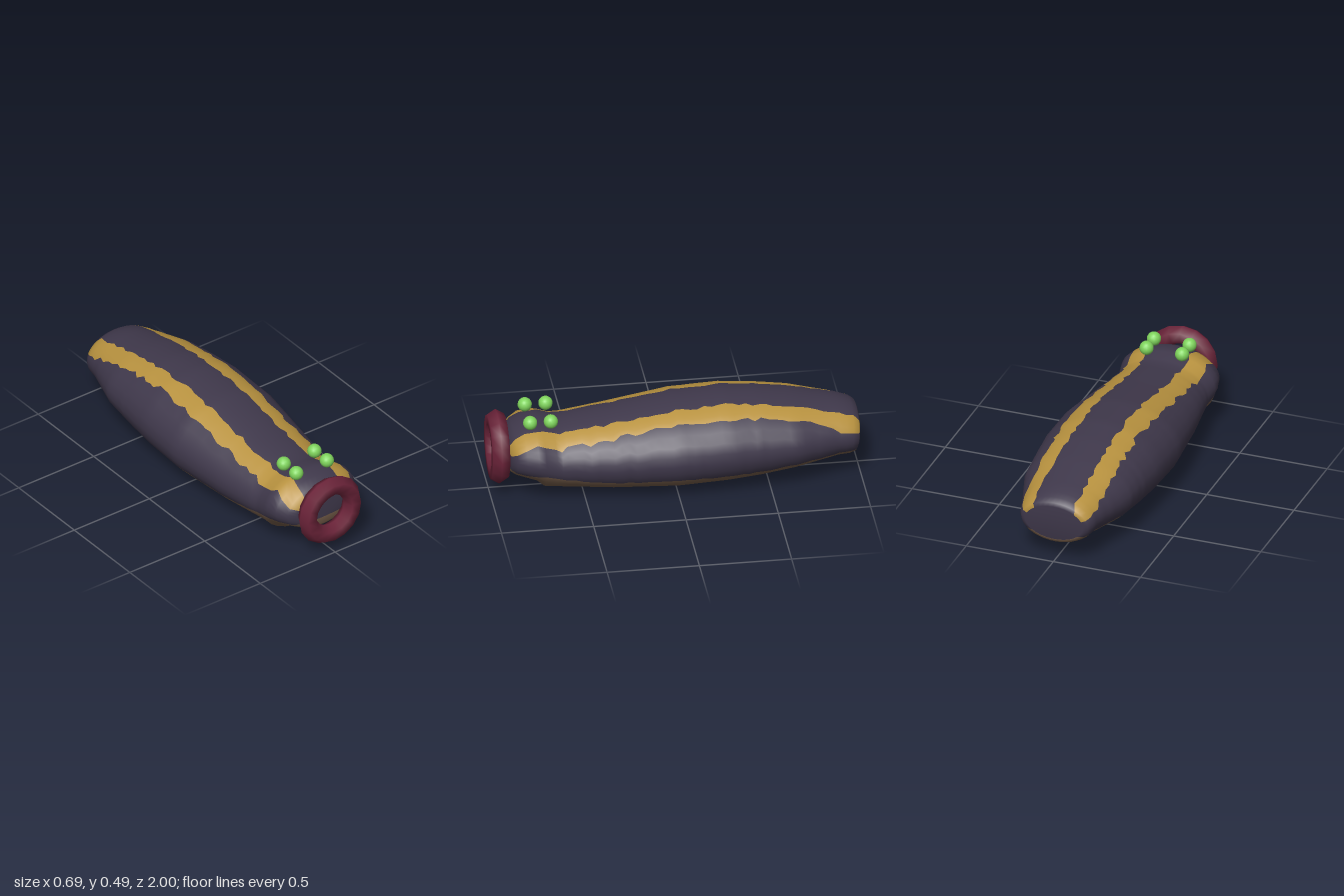
import * as THREE from 'three';

const mat = (name, color) => {
  const m = new THREE.MeshStandardMaterial({ color });
  m.name = name;
  return m;
};

// Body stations: z, half width, bottom y, top y, height of the belly colour
const STATIONS = [
  [-0.99, 0.165, 0.13, 0.335, 0.17],
  [-0.98, 0.19, 0.11, 0.355, 0.17],
  [-0.95, 0.208, 0.1, 0.375, 0.17],
  [-0.88, 0.225, 0.098, 0.4, 0.17],
  [-0.64, 0.305, 0.06, 0.447, 0.16],
  [-0.45, 0.325, 0.03, 0.475, 0.14],
  [-0.27, 0.342, 0.014, 0.488, 0.135],
  [0, 0.346, 0.002, 0.474, 0.135],
  [0.35, 0.305, 0.012, 0.42, 0.13],
  [0.6, 0.268, 0.03, 0.39, 0.155],
  [0.66, 0.26, 0.035, 0.393, 0.17],
  [0.72, 0.274, 0.046, 0.41, 0.19],
  [0.76, 0.278, 0.088, 0.41, 0.19],
  [0.82, 0.262, 0.11, 0.4, 0.19],
  [0.87, 0.22, 0.12, 0.378, 0.187],
  [0.895, 0.175, 0.13, 0.35, 0.185],
  [0.905, 0.13, 0.145, 0.325, 0.185],
];

// Long spans are divided so the stripe edges can wander
function bodyRows() {
  const rows = [];
  for (let i = 0; i < STATIONS.length - 1; i++) {
    const a = STATIONS[i], b = STATIONS[i + 1];
    const n = Math.max(1, Math.round((b[0] - a[0]) / 0.04));
    for (let k = 0; k < n; k++) rows.push(a.map((v, j) => v + (b[j] - v) * k / n));
  }
  rows.push(STATIONS[STATIONS.length - 1]);
  return rows;
}

function buildBody(materials) {
  let seed = 7;
  const jitter = (s) => {
    seed = (seed * 16807) % 2147483647;
    return (seed / 2147483647 - 0.5) * 2 * s;
  };
  const DARK = 0, GOLD = 1, BROWN = 2;
  const spans = [[6, BROWN], [6, DARK], [3, GOLD], [4, DARK]];
  const sideColours = spans.flatMap(([n, c]) => Array(n).fill(c));
  const colours = [...sideColours, ...[...sideColours].reverse()];
  const N = colours.length;
  const rows = bodyRows();
  const pos = [];

  // Angles from belly to back on one side, landing on each colour boundary
  const sideAngles = (w, h, cy, belly) => {
    const tBelly = Math.asin(THREE.MathUtils.clamp((belly + jitter(0.005) - cy) / h, -0.9, 0.3));
    const outer = Math.acos(Math.min((0.21 + jitter(0.014)) / w, 0.94));
    const inner = Math.acos(Math.min((0.115 + jitter(0.011)) / w, 0.75));
    const stops = [-Math.PI / 2, tBelly, outer, inner, Math.PI / 2];
    const out = [];
    spans.forEach(([n], s) => {
      for (let k = 0; k < n; k++) out.push(stops[s] + (stops[s + 1] - stops[s]) * k / n);
    });
    return out;
  };

  for (const [z, w, lo, hi, belly] of rows) {
    const cy = (lo + hi) / 2, h = (hi - lo) / 2;
    const left = sideAngles(w, h, cy, belly);
    const right = [...sideAngles(w, h, cy, belly), Math.PI / 2].slice(1).reverse();
    const angles = [...left, ...right.map((t) => Math.PI - t)];
    const tilt = z < -0.85 ? 0.09 * Math.min(1, (-0.85 - z) / 0.1) : 0;
    for (const t of angles) {
      const y = cy + h * Math.sin(t);
      pos.push(w * Math.cos(t), y, z - tilt * (y - cy));
    }
  }

  const faces = [[], [], []];
  for (let i = 0; i < rows.length - 1; i++) {
    for (let j = 0; j < N; j++) {
      const k = (j + 1) % N;
      const a = i * N + j, b = i * N + k, c = b + N, d = a + N;
      faces[colours[j]].push(a, b, c, a, c, d);
    }
  }

  // Dark tail disc, and a front cap whose lower part keeps the belly colour
  const last = (rows.length - 1) * N;
  const tail = pos.length / 3, nose = tail + 1;
  pos.push(0, 0.232, -0.992, 0, 0.185, 0.907);
  for (let j = 0; j < N; j++) {
    const k = (j + 1) % N;
    faces[DARK].push(tail, k, j);
    faces[colours[j] === BROWN ? BROWN : DARK].push(nose, last + j, last + k);
  }

  const geo = new THREE.BufferGeometry();
  geo.setAttribute('position', new THREE.Float32BufferAttribute(pos, 3));
  geo.setIndex(faces.flat());
  let start = 0;
  faces.forEach((f, m) => {
    geo.addGroup(start, f.length, m);
    start += f.length;
  });
  geo.computeVertexNormals();
  const body = new THREE.Mesh(geo, materials);
  body.name = 'body';
  return body;
}

export function createModel() {
  const dark = mat('dark skin', 0x3f384b);
  const gold = mat('gold stripe', 0xb8923f);
  const brown = mat('brown belly', 0x735b48);
  const crimson = mat('crimson sucker', 0x6b2339);
  const green = mat('green eyes', 0x7fd45c);

  const model = new THREE.Group();
  model.name = 'leech';
  model.add(buildBody([dark, gold, brown]));

  // Ring-shaped sucker around the mouth
  const sucker = new THREE.Mesh(new THREE.TorusGeometry(0.148, 0.054, 6, 16), crimson);
  sucker.name = 'mouthSucker';
  sucker.position.set(0, 0.252, 0.951);
  model.add(sucker);

  // Two pairs of bead eyes on top of the head
  const eyeGeo = new THREE.IcosahedronGeometry(0.039, 2);
  for (const z of [0.675, 0.787]) {
    for (const side of [1, -1]) {
      const eye = new THREE.Mesh(eyeGeo, green);
      eye.name = side > 0 ? 'leftEye' : 'rightEye';
      eye.position.set(side * 0.102, 0.44, z);
      model.add(eye);
    }
  }
  return model;
}
